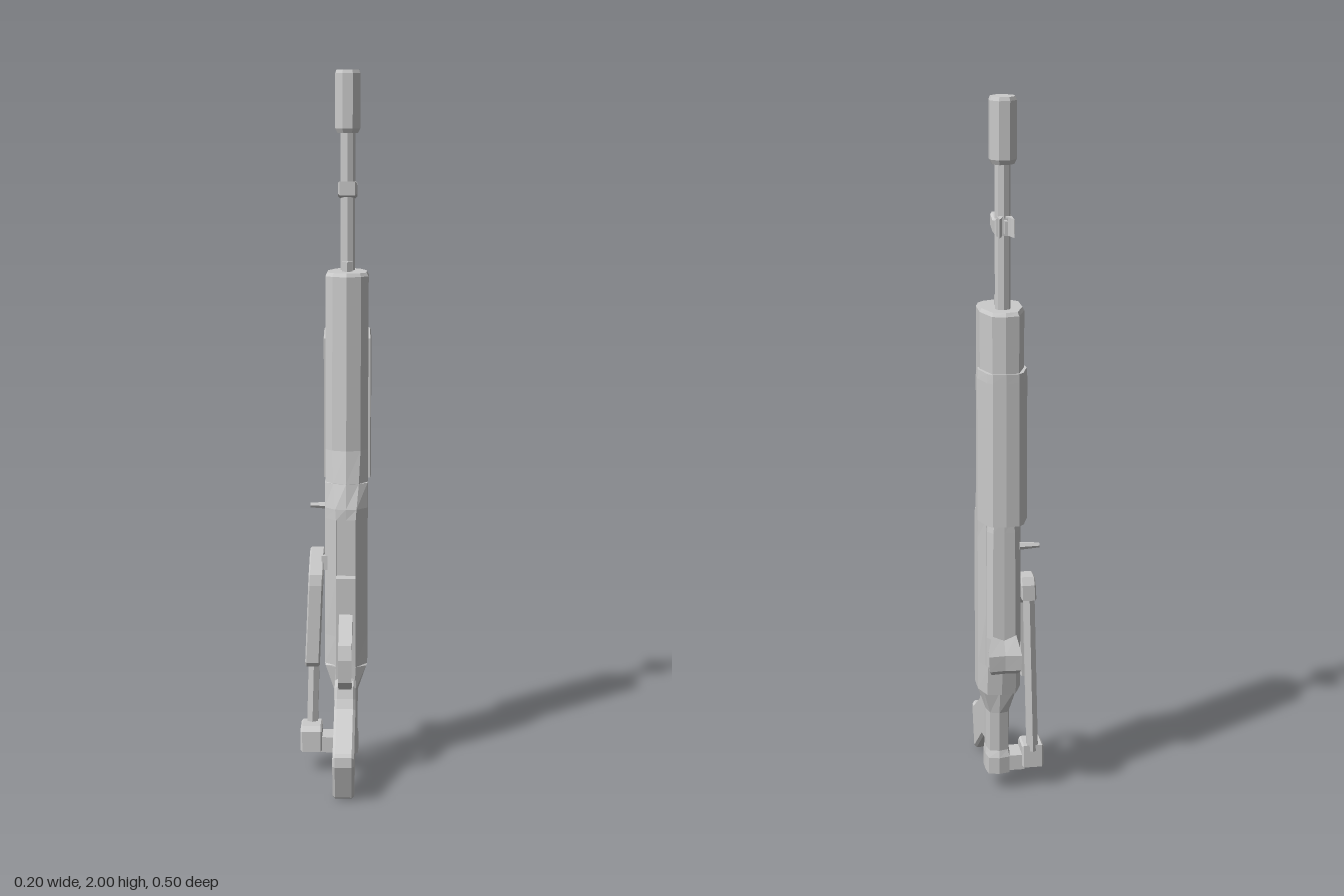
import * as THREE from 'three';

const CX = 0.03; // centre line of the main assembly
const mat = new THREE.MeshStandardMaterial({ color: 0xcccccc, flatShading: true });
const twoSided = new THREE.MeshStandardMaterial({ color: 0xcccccc, flatShading: true, side: THREE.DoubleSide });

// Skin rings of [x, y, z] points, listed bottom to top, with end caps
function loft(rings, skip = () => false) {
  const n = rings[0].length, index = [];
  for (let i = 0; i < rings.length - 1; i++) {
    for (let j = 0; j < n; j++) {
      if (skip(i, j)) continue;
      const a = i * n + j, b = i * n + (j + 1) % n;
      index.push(a, b, b + n, a, b + n, a + n);
    }
  }
  const top = (rings.length - 1) * n;
  for (let j = 1; j < n - 1; j++) index.push(0, j + 1, j, top, top + j, top + j + 1);
  const g = new THREE.BufferGeometry();
  g.setAttribute('position', new THREE.Float32BufferAttribute(rings.flat(2), 3));
  g.setIndex(index);
  const flat = g.toNonIndexed();
  flat.computeVertexNormals();
  return flat;
}

// Mirror a half section [dx, z], running from front to back, into a full ring
function ring(y, half) {
  const other = half.slice(1, -1).reverse().map(([x, z]) => [-x, z]);
  return [...half, ...other].map(([x, z]) => [CX + x, y, z]);
}

// Extrude a side profile of [z, y] points across x
function sideProfile(points, width, x, bevel = 0, hole = null) {
  const shape = new THREE.Shape(points.map(p => new THREE.Vector2(...p)));
  if (hole) shape.holes.push(new THREE.Path(hole.map(p => new THREE.Vector2(...p))));
  const g = new THREE.ExtrudeGeometry(shape, {
    depth: width - 2 * bevel, bevelEnabled: bevel > 0,
    bevelThickness: bevel, bevelSize: bevel, bevelOffset: -bevel, bevelSegments: 1,
  });
  return g.rotateY(-Math.PI / 2).translate(x + width / 2 - bevel, 0, 0);
}

export function createModel() {
  const model = new THREE.Group();
  const add = (name, geometry, material = mat) => {
    const mesh = new THREE.Mesh(geometry, material);
    mesh.name = name;
    model.add(mesh);
    return mesh;
  };
  const box = (name, x0, x1, y0, y1, z0, z1) => add(name,
    new THREE.BoxGeometry(x1 - x0, y1 - y0, z1 - z0).translate((x0 + x1) / 2, (y0 + y1) / 2, (z0 + z1) / 2));
  const rod = (name, r, y0, y1, x, z, sides = 8) => add(name,
    new THREE.CylinderGeometry(r, r, y1 - y0, sides).translate(x, (y0 + y1) / 2, z));

  // Main body: y, front z, back z, half width, front half width, back half width, keel
  const sections = [
    [0.06, -0.012, -0.11, 0.035, 0.026, 0.03, 0],
    [0.11, -0.012, -0.112, 0.035, 0.026, 0.03, 0],
    [0.13, -0.012, -0.105, 0.032, 0.026, 0.026, 0],
    [0.25, -0.01, -0.112, 0.034, 0.026, 0.026, 0],
    [0.32, -0.01, -0.122, 0.058, 0.028, 0.045, 0],
    [0.325, -0.01, -0.158, 0.06, 0.028, 0.04, 0],
    [0.41, -0.008, -0.17, 0.06, 0.028, 0.04, 0],
    [0.58, -0.004, -0.175, 0.06, 0.028, 0.045, 0],
    [0.75, -0.002, -0.175, 0.06, 0.028, 0.045, 0],
    [0.78, -0.002, -0.175, 0.06, 0.03, 0.045, 0.003],
    [0.849, -0.018, -0.175, 0.06, 0.036, 0.045, 0.012],
    [0.85, -0.018, -0.232, 0.06, 0.036, 0.036, 0.012],
    [0.94, -0.038, -0.237, 0.06, 0.04, 0.036, 0.015],
    [1.43, -0.05, -0.235, 0.06, 0.04, 0.036, 0.015],
    [1.44, -0.056, -0.228, 0.055, 0.037, 0.033, 0.014],
  ];
  const bodyRings = sections.map(([y, f, b, w, wf, wb, keel]) => ring(y, [
    [0, f], [wf, f - keel], [w, f + (b - f) * 0.2], [w, f + (b - f) * 0.6], [wb, b + 0.008], [0, b],
  ]));
  add('body', loft(bodyRings, (i, j) => i === 7 && (j === 0 || j === 9)));

  // Open pocket in the front of the body
  const pocket = new THREE.BoxGeometry(0.056, 0.17, 0.04).translate(CX, 0.665, -0.023);
  pocket.setIndex([...pocket.index.array].filter((_, i) => i < 24 || i >= 30));
  add('frontPocket', pocket, twoSided);

  // Raised shell around the back of the upper body
  const shell = (y, s, front) => ring(y, [
    [0, front], [0.066 * s, front], [0.068 * s, -0.165], [0.05 * s, -0.222], [0.036 * s, -0.235], [0, -0.24],
  ]);
  add('upperShell', loft([shell(0.85, 1, -0.125), shell(1.25, 1, -0.122), shell(1.275, 0.97, -0.145)]));

  // Raised cover behind the receiver
  const cover = (y, w, b) => ring(y, [[0, -0.15], [w, -0.15], [w, b + 0.02], [w - 0.014, b], [0, b - 0.003]]);
  add('receiverCover', loft([cover(0.42, 0.046, -0.19), cover(0.51, 0.046, -0.2), cover(0.82, 0.044, -0.2), cover(0.86, 0.04, -0.2)]));

  // Flared rear sight
  add('rearSight', loft([
    [0.408, 0.036, -0.205], [0.425, 0.044, -0.226], [0.47, 0.046, -0.228], [0.52, 0.034, -0.2],
  ].map(([y, w, b]) => ring(y, [[0, -0.165], [w * 0.85, -0.165], [w, b], [0, b + 0.004]]))));

  // Barrel, end sleeve and the short rod beside the barrel
  rod('barrel', 0.021, 1.42, 1.85, CX, -0.172);
  add('endSleeve', loft([[1.825, 0.031], [1.838, 0.038], [1.99, 0.038], [2, 0.034]].map(([y, r]) =>
    Array.from({ length: 8 }, (_, i) => {
      const a = (i + 0.5) * Math.PI / 4;
      return [CX + r * Math.sin(a), y, -0.172 + r * Math.cos(a)];
    }))));
  rod('shortRod', 0.017, 1.42, 1.467, CX, -0.127, 6);

  // Front sight: clamp block, two ears and a post
  add('frontSightBlock', sideProfile([
    [-0.127, 1.653], [-0.172, 1.642], [-0.215, 1.642], [-0.215, 1.688], [-0.172, 1.682], [-0.127, 1.692],
  ], 0.054, CX, 0.005));
  for (const side of [-1, 1]) {
    const ear = loft([1.643, 1.692].map(y => {
      const pts = [[0.004, -0.2], [0.02, -0.2], [0.019, -0.248], [0.013, -0.235]];
      const ordered = side > 0 ? pts : pts.slice().reverse();
      return ordered.map(([x, z]) => [CX + side * x, y, z]);
    }));
    add(side > 0 ? 'leftSightEar' : 'rightSightEar', ear);
  }
  box('sightPost', CX - 0.004, CX + 0.004, 1.65, 1.685, -0.238, -0.2);

  // Grip and guard loop
  add('grip', sideProfile([
    [-0.02, 0.13], [0.04, 0.118], [0.2, 0.005], [0.213, 0.012], [0.248, 0.11], [0.246, 0.138], [0.218, 0.14],
    [0.08, 0.225], [0.066, 0.25], [0.055, 0.283], [-0.02, 0.287],
  ].reverse(), 0.06, CX, 0.007).translate(0, -0.001, 0));
  add('guardLoop', sideProfile([
    [-0.012, 0.48], [0, 0.47], [0.07, 0.405], [0.082, 0.365], [0.078, 0.3], [0.055, 0.272], [-0.012, 0.272],
  ], 0.038, CX, 0, [
    [-0.004, 0.425], [-0.004, 0.288], [0.052, 0.288], [0.07, 0.308], [0.073, 0.36], [0.064, 0.39], [0.03, 0.41],
  ]));

  // Side handle
  add('sideHandle', new THREE.CylinderGeometry(0.007, 0.011, 0.055, 6).rotateZ(Math.PI / 2).translate(-0.048, 0.763, -0.147));

  // Folded side support: hinge foot, strut and bent plate leaning outwards
  add('hingeFoot', sideProfile([
    [-0.1, 0.07], [-0.015, 0.065], [-0.015, 0.125], [-0.03, 0.138], [-0.1, 0.138],
  ], 0.062, -0.069, 0.005));
  box('hingeArm', -0.045, 0.01, 0.063, 0.108, -0.095, -0.02);
  const strut = rod('strut', 0.018, 0.12, 0.62, -0.055, -0.087, 6);
  const plate = add('bentPlate', sideProfile([
    [-0.11, 0.585], [-0.11, 0.63], [-0.098, 0.652], [-0.05, 0.652], [-0.006, 0.59], [0, 0.56], [0, 0.335],
    [-0.008, 0.322], [-0.024, 0.322], [-0.03, 0.55], [-0.058, 0.59],
  ].reverse(), 0.042, -0.052, 0.004));
  for (const [mesh, lean] of [[strut, 0.025], [plate, 0.04]]) {
    const p = mesh.geometry.attributes.position;
    for (let i = 0; i < p.count; i++) p.setX(i, p.getX(i) - (0.65 - p.getY(i)) * lean);
    mesh.geometry.computeVertexNormals();
  }
  box('plateCatch', -0.04, -0.015, 0.6, 0.64, -0.08, -0.03);

  return model;
}
